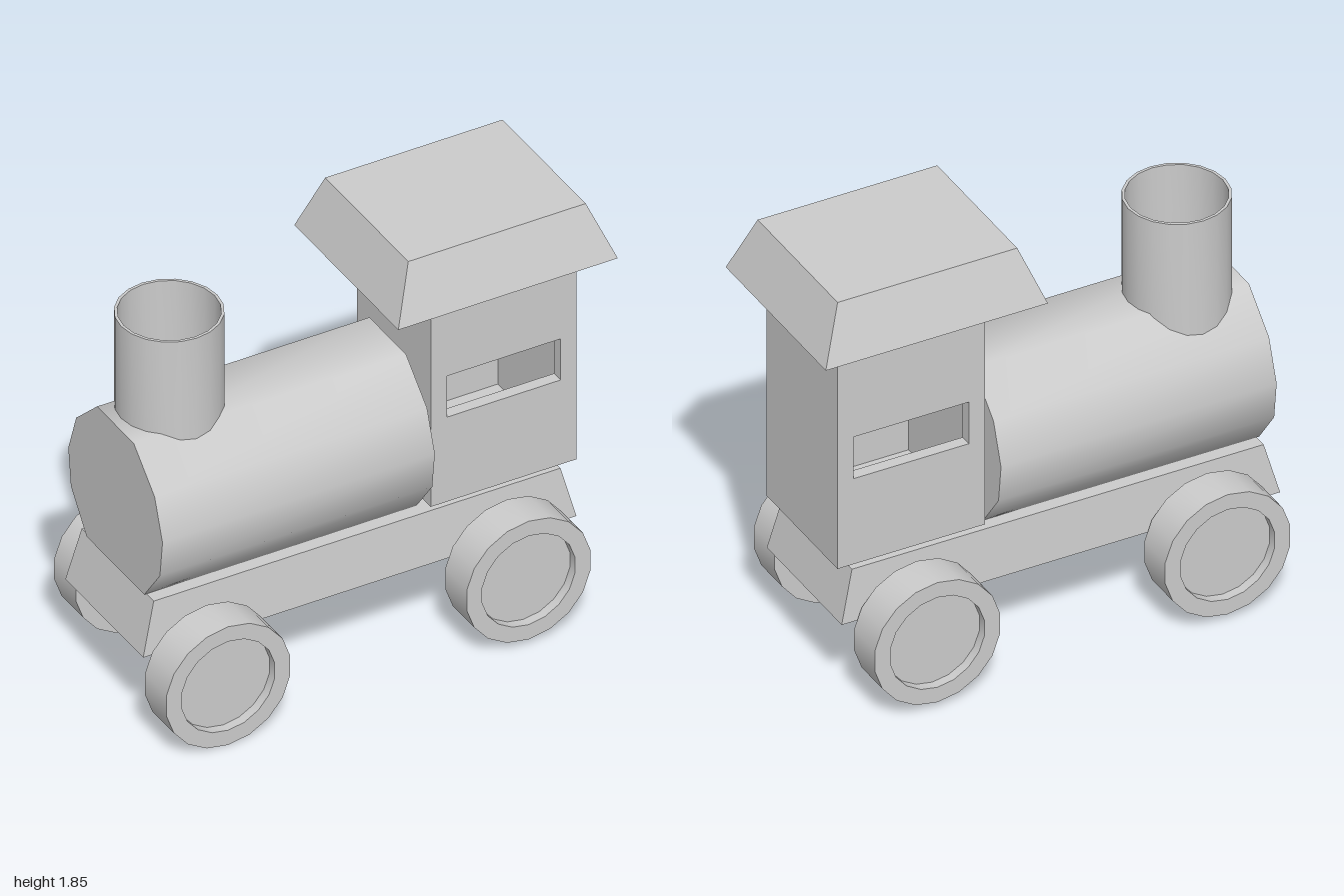
import * as THREE from 'three';
import { toCreasedNormals } from 'three/addons/utils/BufferGeometryUtils.js';

const material = new THREE.MeshStandardMaterial({ color: 0xcccccc });

function add(parent, name, geometry) {
  const mesh = new THREE.Mesh(geometry, material);
  mesh.name = name;
  parent.add(mesh);
  return mesh;
}

// Box given by its limits on each axis
function block(x0, x1, y0, y1, z0, z1) {
  return new THREE.BoxGeometry(x1 - x0, y1 - y0, z1 - z0)
    .translate((x0 + x1) / 2, (y0 + y1) / 2, (z0 + z1) / 2);
}

// Box whose top rectangle [x0, x1, z0, z1] differs from its bottom one
function taperedBlock(y0, y1, bottom, top) {
  const geometry = new THREE.BoxGeometry(1, 1, 1);
  const p = geometry.attributes.position;
  for (let i = 0; i < p.count; i++) {
    const r = p.getY(i) > 0 ? top : bottom;
    p.setXYZ(i, p.getX(i) < 0 ? r[0] : r[1], p.getY(i) > 0 ? y1 : y0, p.getZ(i) < 0 ? r[2] : r[3]);
  }
  geometry.computeVertexNormals();
  return geometry;
}

function lathe(points, sides) {
  const profile = points.map(([r, y]) => new THREE.Vector2(r, y));
  return toCreasedNormals(new THREE.LatheGeometry(profile, sides), 0.6);
}

// Ten-sided, slightly bottom-heavy boiler lying along x
function boilerGeometry() {
  const half = [[0.14, 0.325], [0.3, 0.175], [0.36, 0], [0.34, -0.165], [0.22, -0.325]];
  const ring = [...half, ...half.map(([z, y]) => [-z, y]).reverse()];
  const shape = new THREE.Shape(ring.map(([z, y]) => new THREE.Vector2(-z, y)));
  const geometry = new THREE.ExtrudeGeometry(shape, { depth: 1.185, bevelEnabled: false });
  geometry.rotateY(Math.PI / 2).translate(-0.94, 0.93, -0.015);
  return toCreasedNormals(geometry, 1.15);
}

// Hollow cab with a window in each side wall
function cab() {
  const group = new THREE.Group();
  group.name = 'cab';
  const [x0, x1, y0, y1, z0, z1, t] = [0.27, 0.905, 0.63, 1.6, -0.295, 0.27, 0.05];
  const rect = (P, a, b, c, d) => new P([[a, c], [b, c], [b, d], [a, d]].map(([x, y]) => new THREE.Vector2(x, y)));
  const wall = rect(THREE.Shape, x0, x1, y0, y1);
  wall.holes.push(rect(THREE.Path, 0.34, 0.835, 1.02, 1.21));
  for (const [name, z] of [['cabFrontWall', z1 - t], ['cabBackWall', z0]]) {
    add(group, name, new THREE.ExtrudeGeometry(wall, { depth: t, bevelEnabled: false }).translate(0, 0, z));
  }
  add(group, 'cabRightWall', block(x0, x0 + t, y0, y1, z0 + t, z1 - t));
  add(group, 'cabLeftWall', block(x1 - t, x1, y0, y1, z0 + t, z1 - t));
  add(group, 'cabFloor', block(x0 + t, x1 - t, y0, y0 + t, z0 + t, z1 - t));
  add(group, 'cabCeiling', block(x0 + t, x1 - t, y1 - t, y1, z0 + t, z1 - t));
  return group;
}

export function createModel() {
  const model = new THREE.Group();
  model.name = 'toyTrain';

  add(model, 'chassis', taperedBlock(0.38, 0.605, [-0.99, 0.895, -0.31, 0.285], [-0.93, 0.84, -0.29, 0.26]));
  add(model, 'boiler', boilerGeometry());

  // Open pipe sunk into the boiler
  const pipe = [[0.198, 1.12], [0.21, 1.12], [0.21, 1.68], [0.198, 1.68], [0.198, 1.12]];
  add(model, 'chimney', lathe(pipe, 20)).position.set(-0.69, 0, -0.043);

  model.add(cab());
  add(model, 'roof', taperedBlock(1.615, 1.85, [0.045, 1, -0.378, 0.417], [0.135, 0.907, -0.3, 0.335]));

  // Wheels with a recessed outer face: x, y, inner z, side
  const wheel = lathe([[0, 0], [0.273, 0], [0.273, 0.165], [0.205, 0.165], [0.205, 0.125], [0, 0.125]], 18);
  const wheels = [
    ['frontRightWheel', -0.728, 0.275, 0.31, 1],
    ['frontLeftWheel', 0.583, 0.303, 0.303, 1],
    ['backRightWheel', -0.67, 0.303, -0.32, -1],
    ['backLeftWheel', 0.578, 0.303, -0.32, -1],
  ];
  for (const [name, x, y, z, side] of wheels) {
    const mesh = add(model, name, wheel);
    mesh.position.set(x, y, z);
    mesh.rotation.x = side * Math.PI / 2;
  }
  return model;
}
